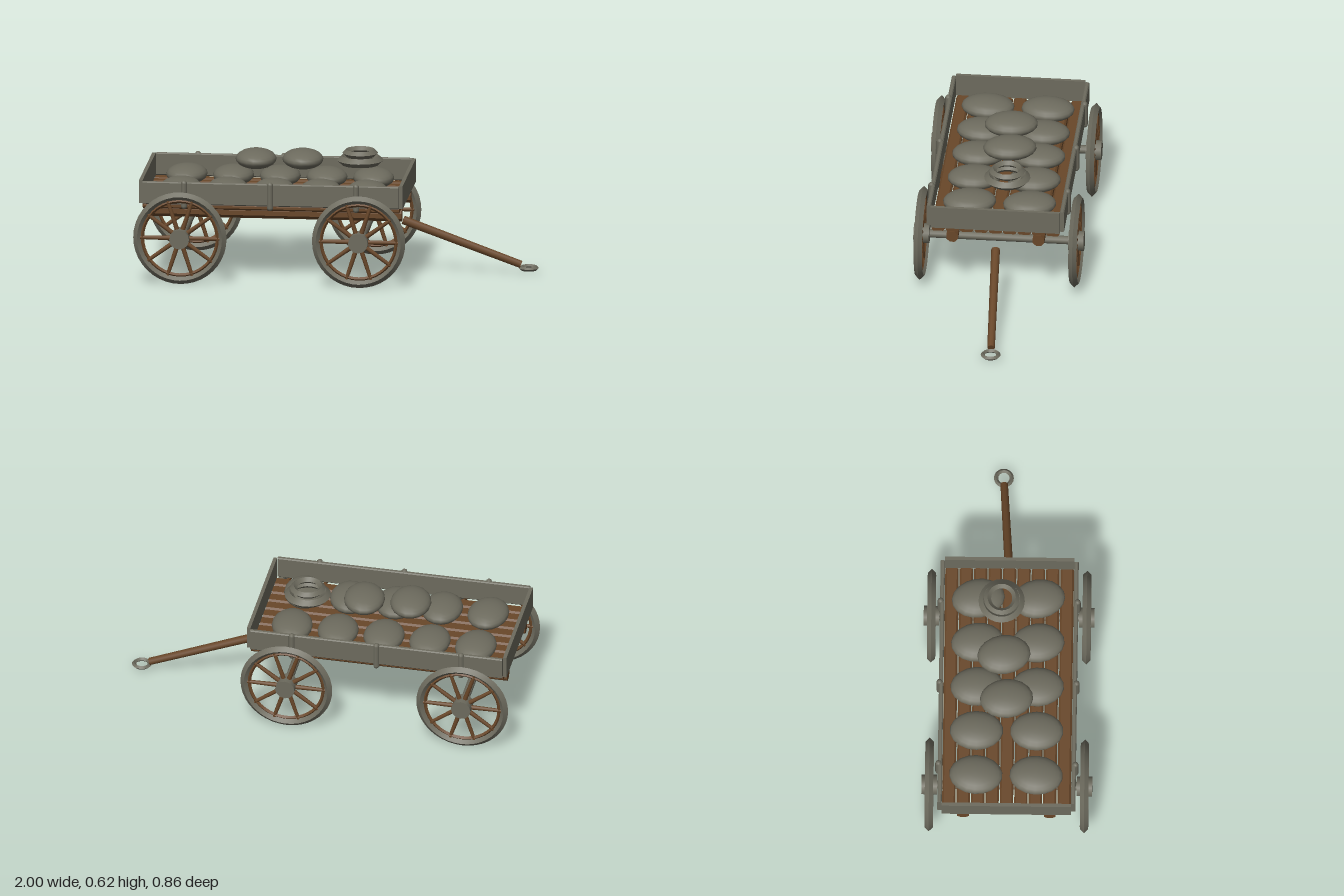
import * as THREE from 'three';
import { toCreasedNormals } from 'three/addons/utils/BufferGeometryUtils.js';

export function createModel() {
  const model = new THREE.Group();
  model.name = 'wagon';
  const grey = new THREE.MeshStandardMaterial({ color: 0x6d6b5e });
  grey.name = 'weathered grey';
  const brown = new THREE.MeshStandardMaterial({ color: 0x694729 });
  brown.name = 'brown wood';

  const add = (name, geo, mat, x = 0, y = 0, z = 0, parent = model) => {
    const m = new THREE.Mesh(geo, mat);
    m.name = name;
    m.position.set(x, y, z);
    parent.add(m);
    return m;
  };
  // ring with a diamond section and crisp edges
  const ring = (outer, tube, segs = 32) =>
    toCreasedNormals(new THREE.TorusGeometry(outer - tube, tube, 4, segs), 0.6);
  // bar with chamfered edges, running along x
  const chamferBar = (len, h, w, c) => {
    const a = w / 2, b = h / 2;
    const s = new THREE.Shape([
      [-a + c, -b], [a - c, -b], [a, -b + c], [a, b - c],
      [a - c, b], [-a + c, b], [-a, b - c], [-a, -b + c],
    ].map(([x, y]) => new THREE.Vector2(x, y)));
    return new THREE.ExtrudeGeometry(s, { depth: len, bevelEnabled: false })
      .translate(0, 0, -len / 2).rotateY(Math.PI / 2);
  };
  const MID = -0.313;

  // floor planks and the two beams below
  const plank = chamferBar(1.29, 0.03, 0.067, 0.009);
  for (let i = -4; i <= 4; i++) add('floorPlank', plank, brown, MID, 0.389, i * 0.0722);
  const beam = chamferBar(1.3, 0.058, 0.058, 0.017);
  for (const s of [-1, 1]) add('beam', beam, brown, MID, 0.345, s * 0.217);

  // side and end boards
  const side = chamferBar(1.29, 0.114, 0.022, 0.005);
  for (const s of [-1, 1]) {
    add('sideBoard', side, grey, MID, 0.459, s * 0.335);
    add('endBoard', new THREE.BoxGeometry(0.018, 0.117, 0.65), grey, MID + s * 0.655, 0.459, 0);
    // upright stakes
    for (const x of [-0.748, -0.315, 0.118])
      add('stake', new THREE.CapsuleGeometry(0.016, 0.115, 3, 8), grey, x, 0.453, s * 0.343);
  }

  // axles and wheels
  const tyre = ring(0.235, 0.021, 40);
  const innerRim = ring(0.2, 0.01, 40);
  const spoke = new THREE.CylinderGeometry(0.009, 0.012, 0.17, 8).translate(0, 0.115, 0);
  const hub = new THREE.CylinderGeometry(0.05, 0.05, 0.078, 12).rotateX(Math.PI / 2);
  const axle = new THREE.CylinderGeometry(0.021, 0.021, 0.78, 12).rotateX(Math.PI / 2);
  for (const x of [-0.764, 0.136]) {
    add('axle', axle, grey, x, 0.24, 0);
    for (const s of [-1, 1]) {
      const wheel = new THREE.Group();
      wheel.name = 'wheel';
      wheel.position.set(x, 0.24, s * 0.389);
      add('tyre', tyre, grey, 0, 0, 0, wheel);
      add('innerRim', innerRim, brown, 0, 0, 0, wheel);
      add('hub', hub, grey, 0, 0, 0, wheel);
      for (let i = 0; i < 10; i++)
        add('spoke', spoke, brown, 0, 0, 0, wheel).rotation.z = -Math.PI / 2 + i * Math.PI / 5;
      model.add(wheel);
    }
  }

  // drawbar and pull ring
  const a = new THREE.Vector3(0.32, 0.273, 0), b = new THREE.Vector3(0.91, 0.05, -0.035);
  const bar = add('drawbar', new THREE.CylinderGeometry(0.019, 0.022, a.distanceTo(b), 10), brown);
  bar.position.copy(a).add(b).multiplyScalar(0.5);
  bar.quaternion.setFromUnitVectors(new THREE.Vector3(0, 1, 0), b.clone().sub(a).normalize());
  add('pullRing', ring(0.05, 0.011, 20).rotateX(Math.PI / 2), grey, 0.949, 0.033, -0.037);

  // sacks: two rows of five, with two more on top
  const sackGeo = new THREE.SphereGeometry(1, 18, 12);
  const sack = (x, y, z, turn) => {
    const m = add('sack', sackGeo, grey, x, y, z);
    m.scale.set(0.103, 0.048, 0.134);
    m.rotation.y = turn;
  };
  for (let i = 0; i < 5; i++) {
    const x = -0.785 + i * 0.235, turn = -0.05 + i * 0.06;
    sack(x, 0.452, -0.155, turn);
    sack(x, 0.452, 0.147, turn);
  }
  sack(-0.421, 0.571, -0.006, 0.12);
  sack(-0.187, 0.571, -0.022, 0.16);

  // coiled rope
  add('ropeCoilLower', ring(0.116, 0.023, 24).rotateX(Math.PI / 2), grey, 0.1, 0.568, -0.037);
  add('ropeCoilUpper', ring(0.089, 0.018, 24).rotateX(Math.PI / 2), grey, 0.1, 0.605, -0.037);

  return model;
}
